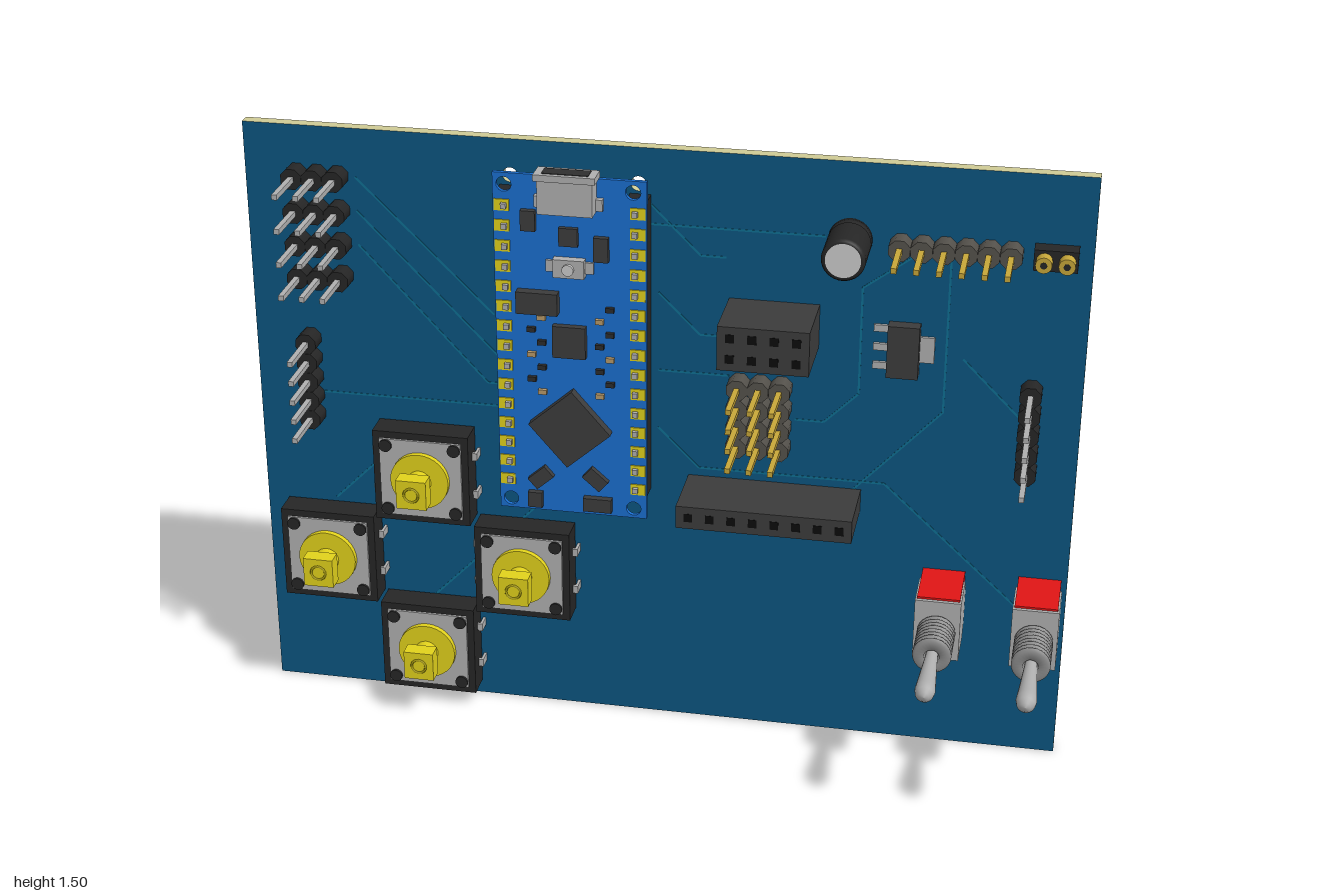
import * as THREE from 'three';

const F = -0.183, B = -0.214; // front and back faces of the main board
const mats = {};
const mat = (c) => (mats[c] ??= new THREE.MeshStandardMaterial({ color: c }));
const BLACK = 0x262626, DARK = 0x3c3c3c, METAL = 0xb0b0b0, GOLD = 0xc8a83a, YELLOW = 0xe2d21c,
  MASK = 0x0b5580, TRACE = 0x0f6f92, EDGE = 0xcfcb96, NANO = 0x1a6fd0, RED = 0xe01515;

function add(parent, name, geo, color) {
  const m = new THREE.Mesh(geo, Array.isArray(color) ? color.map(mat) : mat(color));
  m.name = name;
  parent.add(m);
  return m;
}
// box centred on (x, y), spanning z0..z1
function box(p, name, color, x, y, w, h, z0, z1) {
  const m = add(p, name, new THREE.BoxGeometry(w, h, z1 - z0), color);
  m.position.set(x, y, (z0 + z1) / 2);
  return m;
}
// cylinder along z
function cyl(p, name, color, x, y, r, z0, z1, seg = 24) {
  const m = add(p, name, new THREE.CylinderGeometry(r, r, z1 - z0, seg).rotateX(Math.PI / 2), color);
  m.position.set(x, y, (z0 + z1) / 2);
  return m;
}
// surface turned around the z axis; profile of [radius, z]
function turned(p, name, color, x, y, profile, seg = 24) {
  const geo = new THREE.LatheGeometry(profile.map(([r, z]) => new THREE.Vector2(r, z)), seg).rotateX(Math.PI / 2);
  const m = add(p, name, geo, color);
  m.position.set(x, y, 0);
  return m;
}
function group(p, name) {
  const g = new THREE.Group();
  g.name = name;
  p.add(g);
  return g;
}
// flat board with round corner holes
function plate(p, name, x0, x1, y0, y1, z0, z1, holes, colors) {
  const s = new THREE.Shape([[x0, y0], [x1, y0], [x1, y1], [x0, y1]].map(([x, y]) => new THREE.Vector2(x, y)));
  for (const [x, y] of holes) s.holes.push(new THREE.Path().absarc(x, y, 0.018, 0, Math.PI * 2, true));
  const geo = new THREE.ExtrudeGeometry(s, { depth: z1 - z0, bevelEnabled: false, curveSegments: 10 });
  add(p, name, geo, colors).position.z = z0;
}
// thin copper line along points
function trace(p, pts, z) {
  for (let i = 1; i < pts.length; i++) {
    const [ax, ay] = pts[i - 1], [bx, by] = pts[i];
    const m = box(p, 'trace', TRACE, (ax + bx) / 2, (ay + by) / 2, Math.hypot(bx - ax, by - ay), 0.005, z - 0.001, z + 0.001);
    m.rotation.z = Math.atan2(by - ay, bx - ax);
  }
}
// male header: one block per pin, pin through the board
function pinHeader(p, name, x, y, cols, rows, pinColor, baseColor = BLACK) {
  const g = group(p, name), d = 0.0505;
  for (let i = 0; i < cols; i++) for (let j = 0; j < rows; j++) {
    const px = x + (i - (cols - 1) / 2) * d, py = y + (j - (rows - 1) / 2) * d;
    const block = cyl(g, 'pinBlock', baseColor, px, py, 0.5, F, -0.135, 8);
    block.geometry.rotateZ(Math.PI / 8).scale(0.054, 0.054, 1);
    box(g, 'pin', pinColor, px, py, 0.013, 0.013, -0.25, -0.013);
  }
}
// female header with square sockets
function socketHeader(p, name, x, y, cols, rows) {
  const g = group(p, name), d = 0.0515;
  box(g, 'socketBody', DARK, x, y, cols * d + 0.008, rows * d + 0.006, F, -0.012);
  for (let i = 0; i < cols; i++) for (let j = 0; j < rows; j++) {
    const px = x + (i - (cols - 1) / 2) * d, py = y + (j - (rows - 1) / 2) * d;
    box(g, 'socket', 0x0c0c0c, px, py, 0.021, 0.021, -0.03, -0.011);
    box(g, 'solderPin', METAL, px, py, 0.012, 0.012, -0.245, F);
  }
}
function pushButton(p, x, y) {
  const g = group(p, 'pushButton');
  g.position.set(x, y, 0);
  box(g, 'buttonBase', BLACK, 0, 0, 0.24, 0.24, F + 0.004, -0.11);
  box(g, 'buttonPlate', METAL, 0, 0, 0.205, 0.205, -0.11, -0.104);
  cyl(g, 'buttonFlange', YELLOW, 0, 0, 0.073, -0.11, -0.09, 32);
  cyl(g, 'buttonStem', YELLOW, 0, 0, 0.03, -0.09, -0.05);
  box(g, 'buttonCap', YELLOW, 0, 0, 0.075, 0.075, -0.056, -0.015);
  add(g, 'capRing', new THREE.TorusGeometry(0.018, 0.003, 6, 20), 0xa89c10).position.z = -0.015;
  for (const sx of [-1, 1]) {
    cyl(g, 'locatingPeg', BLACK, sx * 0.09, 0, 0.014, B - 0.003, F, 16);
    for (const sy of [-1, 1]) {
      cyl(g, 'rivet', BLACK, sx * 0.086, sy * 0.086, 0.016, -0.11, -0.098, 16);
      box(g, 'legTop', METAL, sx * 0.122, sy * 0.052, 0.016, 0.02, -0.155, -0.147);
      box(g, 'leg', METAL, sx * 0.129, sy * 0.052, 0.007, 0.02, -0.247, -0.147);
    }
  }
}
function toggleSwitch(p, x, y) {
  const g = group(p, 'toggleSwitch');
  g.position.set(x, y, 0);
  box(g, 'switchBody', RED, 0, 0, 0.102, 0.165, F, -0.038);
  box(g, 'frontBracket', METAL, 0, 0, 0.11, 0.155, -0.038, -0.029);
  // chamfered side plates of the bracket, drawn in (z, y)
  const side = new THREE.Shape([[-0.03, -0.077], [-0.03, 0.077], [-0.14, 0.077], [-0.17, 0.05], [-0.17, -0.05], [-0.14, -0.077]]
    .map(([z, sy]) => new THREE.Vector2(-z, sy)));
  for (const sx of [-1, 1]) {
    const geo = new THREE.ExtrudeGeometry(side, { depth: 0.005, bevelEnabled: false }).rotateY(Math.PI / 2);
    add(g, 'sideBracket', geo, METAL).position.x = sx * 0.0525 - 0.0025;
  }
  const thread = [[0.04, -0.03]];
  for (let i = 0; i < 8; i++) thread.push([0.04, -0.025 + i * 0.015], [0.046, -0.019 + i * 0.015], [0.046, -0.016 + i * 0.015]);
  thread.push([0.04, 0.096], [0.018, 0.096], [0.018, 0.085], [0, 0.085]);
  turned(g, 'threadedBushing', 0x8c8c8c, 0, 0, thread);
  turned(g, 'lever', METAL, 0, 0, [[0.014, 0.085], [0.016, 0.12], [0.023, 0.235], [0.024, 0.25], [0.021, 0.267], [0.012, 0.278], [0, 0.281]]);
  for (const dy of [-0.05, 0, 0.05]) box(g, 'terminal', METAL, 0, dy, 0.026, 0.014, -0.255, F);
}
function microBoard(p) {
  const g = group(p, 'controllerBoard'), top = -0.12, cx = -0.198;
  const corners = [[-0.353, 1.417], [-0.048, 1.417], [-0.353, 0.605], [-0.048, 0.605]];
  plate(g, 'controllerPlate', -0.38, -0.016, 0.58, 1.445, -0.131, top, corners, [NANO, NANO]);
  for (const x of [-0.353, -0.043]) {
    box(g, 'pinStrip', BLACK, x, 1.012, 0.05, 0.76, F, -0.131);
    for (let i = 0; i < 15; i++) {
      const y = 0.658 + i * 0.0506, s = Math.sign(x - cx);
      box(g, 'pad', YELLOW, x + s * 0.006, y, 0.036, 0.028, -0.13, top + 0.003);
      box(g, 'boardPin', METAL, x, y, 0.013, 0.013, -0.28, -0.107);
    }
  }
  // USB socket with flared lip
  box(g, 'usbShell', METAL, cx, 1.41, 0.13, 0.085, top, -0.07);
  box(g, 'usbLip', METAL, cx, 1.457, 0.145, 0.016, -0.122, -0.064);
  box(g, 'usbOpening', 0x303030, cx, 1.46, 0.11, 0.013, -0.112, -0.075);
  for (const sx of [-1, 1]) box(g, 'usbTab', METAL, cx + sx * 0.07, 1.385, 0.022, 0.028, top, -0.105);
  // reset button
  box(g, 'resetBody', METAL, cx, 1.225, 0.075, 0.045, top, -0.098);
  cyl(g, 'resetKnob', 0xe8e8e8, cx, 1.225, 0.014, -0.098, -0.09, 16);
  for (const sx of [-1, 1]) box(g, 'resetLeg', METAL, cx + sx * 0.047, 1.225, 0.02, 0.028, top, -0.113);
  // chips: x, y, width, height, thickness, turn
  for (const [x, y, w, h, d, a] of [[-0.275, 1.133, 0.1, 0.055, 0.025, 0], [-0.2, 1.037, 0.08, 0.08, 0.018, 0],
    [-0.2, 0.813, 0.142, 0.142, 0.025, 0.72], [-0.295, 1.335, 0.035, 0.05, 0.015, 0], [-0.122, 1.275, 0.035, 0.06, 0.015, 0],
    [-0.2, 1.3, 0.045, 0.045, 0.012, 0], [-0.275, 0.673, 0.055, 0.035, 0.015, 0.72], [-0.14, 0.68, 0.055, 0.035, 0.015, -0.72],
    [-0.135, 0.612, 0.07, 0.035, 0.018, 0], [-0.29, 0.612, 0.035, 0.04, 0.015, 0]])
    box(g, 'chip', DARK, x, y, w, h, top, top + d).rotation.z = a;
  for (let i = 0; i < 8; i++)
    for (const sx of [-1, 1]) box(g, 'smallPart', i % 3 ? 0x2c2c2c : 0xb89a6a, cx + sx * (0.07 + 0.025 * (i % 2)), 0.9 + i * 0.032, 0.02, 0.012, top, top + 0.01);
}

export function createModel() {
  const root = new THREE.Group();
  root.name = 'gameControllerBoard';

  // main board with holes under the small board's corners
  const holes = [[-0.353, 1.417], [-0.048, 1.417], [-0.353, 0.605], [-0.048, 0.605]];
  plate(root, 'mainBoard', -1, 1, 0, 1.505, B, F, holes, [MASK, EDGE]);

  // copper traces
  const traces = group(root, 'traces');
  const routes = [
    [[-0.73, 1.385], [-0.4, 1.06]], [[-0.73, 1.3], [-0.38, 0.94]], [[-0.73, 1.215], [-0.42, 0.88], [-0.38, 0.88]],
    [[-0.84, 0.82], [-0.39, 0.82]], [[-0.02, 1.32], [0.39, 1.32]], [[-0.02, 1.37], [0.1, 1.25], [0.16, 1.25]],
    [[0, 1.15], [0.1, 1.05], [0.16, 1.05]], [[0, 0.95], [0.17, 0.95]], [[0, 0.8], [0.1, 0.7], [0.55, 0.7], [0.88, 0.4]],
    [[0.33, 0.85], [0.4, 0.85], [0.48, 0.93], [0.48, 1.2], [0.6, 1.29]], [[0.68, 1.29], [0.68, 0.9], [0.45, 0.65]],
    [[0.72, 1.04], [0.86, 0.9]], [[-0.58, 0.27], [-0.3, 0.56], [-0.3, 0.6]], [[-0.82, 0.53], [-0.7, 0.65]],
  ];
  for (const r of routes) for (const z of [F, B]) trace(traces, r, z);

  // servo headers, side headers, selector, programming header
  for (const y of [1.385, 1.3, 1.217, 1.133]) pinHeader(root, 'threePinHeader', -0.822, y, 3, 1, METAL);
  pinHeader(root, 'rightSideHeader', -0.862, 0.862, 1, 5, METAL);
  pinHeader(root, 'leftSideHeader', 0.882, 0.875, 1, 5, METAL);
  pinHeader(root, 'selectorHeader', 0.247, 0.858, 3, 4, GOLD, 0x55524c);
  pinHeader(root, 'programmingHeader', 0.69, 1.315, 6, 1, GOLD, 0x55524c);

  // sockets for plug-in modules
  socketHeader(root, 'radioSocket', 0.275, 1.095, 4, 2);
  socketHeader(root, 'sensorSocket', 0.285, 0.65, 8, 1);

  // power connector
  const power = group(root, 'powerConnector');
  box(power, 'powerBase', BLACK, 0.916, 1.315, 0.1, 0.05, F, -0.14);
  for (const x of [0.89, 0.942]) {
    cyl(power, 'powerContact', GOLD, x, 1.315, 0.019, -0.14, -0.11, 16);
    cyl(power, 'powerBore', BLACK, x, 1.315, 0.008, -0.11, -0.109, 12);
    box(power, 'powerPin', METAL, x, 1.315, 0.012, 0.012, -0.25, F);
  }

  // capacitor
  turned(root, 'capacitorSleeve', BLACK, 0.447, 1.318, [[0, F], [0.051, F], [0.051, -0.165], [0.046, -0.16], [0.051, -0.155],
    [0.051, -0.052], [0.047, -0.045], [0.041, -0.045]], 32);
  cyl(root, 'capacitorTop', 0xc8c8c8, 0.447, 1.318, 0.042, -0.06, -0.046, 32);
  for (const s of [-1, 1]) box(root, 'capacitorLead', METAL, 0.447 + s * 0.025, 1.318, 0.01, 0.01, -0.25, F);

  // voltage regulator
  const reg = group(root, 'regulator');
  box(reg, 'regulatorBody', DARK, 0.582, 1.058, 0.074, 0.13, F + 0.002, -0.148);
  box(reg, 'regulatorTab', METAL, 0.635, 1.058, 0.036, 0.064, F, -0.175);
  for (const dy of [-0.047, 0, 0.047]) box(reg, 'regulatorLeg', METAL, 0.528, 1.058 + dy, 0.036, 0.017, F, -0.175);

  microBoard(root);
  for (const [x, y] of [[-0.577, 0.64], [-0.825, 0.4], [-0.328, 0.4], [-0.577, 0.16]]) pushButton(root, x, y);
  for (const x of [0.705, 0.935]) toggleSwitch(root, x, 0.4);
  return root;
}
